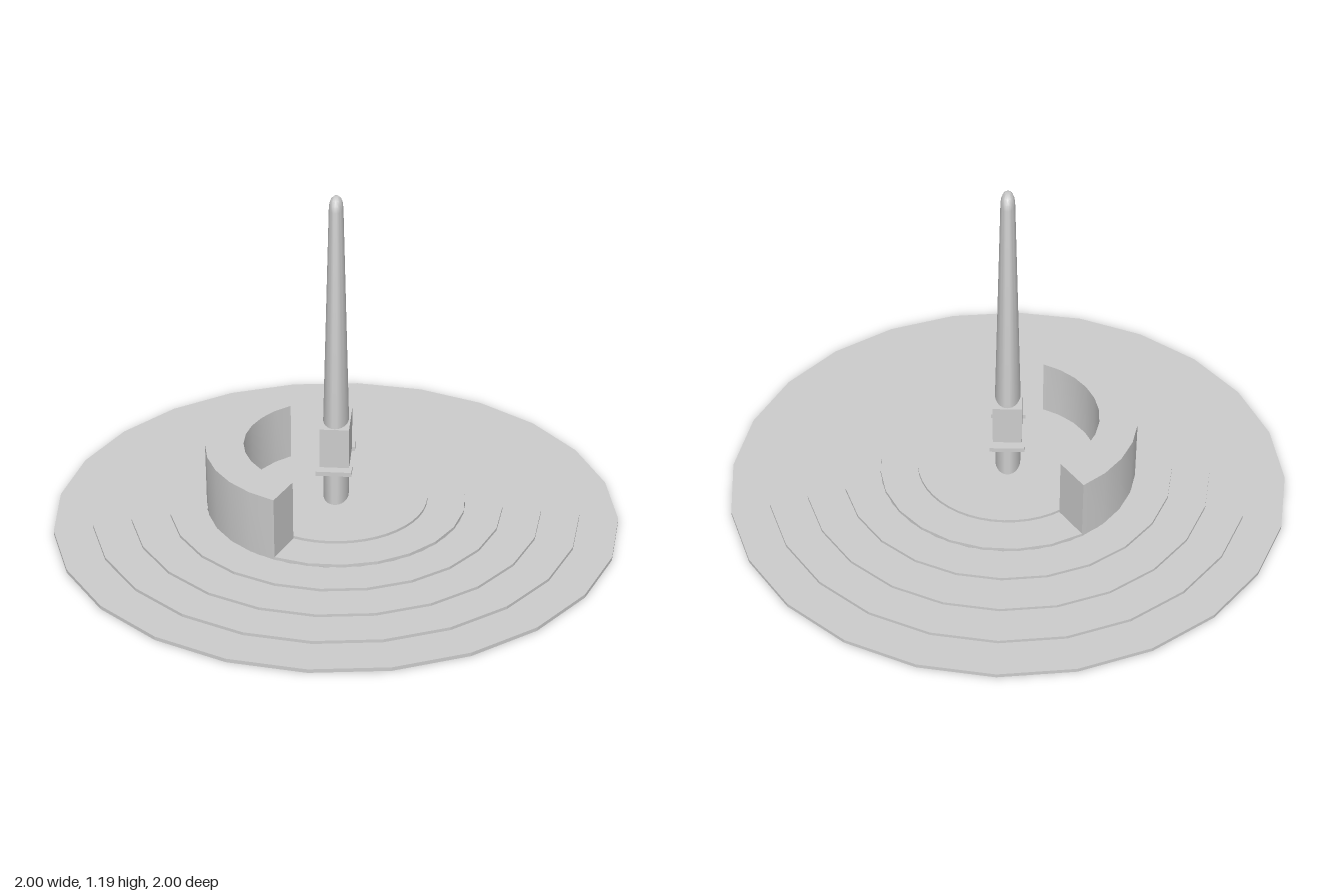
import * as THREE from 'three';
import { toCreasedNormals } from 'three/addons/utils/BufferGeometryUtils.js';

const DEG = Math.PI / 180;
const START = 1.7; // polygon rotation of the terraces, degrees
const TILT = -27.5 * DEG; // heading of the tower
const mat = new THREE.MeshStandardMaterial({ color: 0xcccccc, side: THREE.DoubleSide });

function add(parent, name, geometry, y = 0) {
  const mesh = new THREE.Mesh(geometry, mat);
  mesh.name = name;
  mesh.position.y = y;
  parent.add(mesh);
  return mesh;
}

// Points on an arc, angles in degrees, plan seen from above
function arc(r, from, to, n) {
  return Array.from({ length: n + 1 }, (_, i) => {
    const a = (from + (to - from) * i / n) * DEG;
    return new THREE.Vector2(r * Math.cos(a), r * Math.sin(a));
  });
}

const polygon = (r) => arc(r, START, START + 345, 23);

function sector(inner, outer, from, to, n) {
  return new THREE.Shape([...arc(outer, from, to, n), ...arc(inner, to, from, n)]);
}

// Plan shape raised to a slab standing on its own y = 0
function slab(shape, height) {
  const g = new THREE.ExtrudeGeometry(shape, { depth: height, bevelEnabled: false });
  return g.rotateX(-Math.PI / 2);
}

// Removes the underside of a slab
function openBottom(g) {
  const p = g.attributes.position, kept = [];
  for (let i = 0; i < p.count; i += 3) {
    if (Math.max(p.getY(i), p.getY(i + 1), p.getY(i + 2)) < 1e-5) continue;
    for (let k = i; k < i + 3; k++) kept.push(p.getX(k), p.getY(k), p.getZ(k));
  }
  const out = new THREE.BufferGeometry();
  out.setAttribute('position', new THREE.Float32BufferAttribute(kept, 3));
  return toCreasedNormals(out, 0.5);
}

export function createModel() {
  const model = new THREE.Group();
  model.name = 'monument';

  // Terraces: outer radius, inner radius, bottom, top
  const terraces = [
    [1.0, 0.863, 0, 0.013],
    [0.863, 0.728, 0.013, 0.024],
    [0.728, 0.592, 0.024, 0.034],
    [0.592, 0.46, 0, 0.044],
  ];
  terraces.forEach(([outer, inner, y0, y1], i) => {
    const shape = new THREE.Shape(polygon(outer));
    shape.holes.push(new THREE.Path(polygon(inner)));
    add(model, `terrace${i + 1}`, slab(shape, y1 - y0), y0);
  });

  // Fifth terrace stops where the curved wall stands
  const wallFrom = 97.5, wallTo = 220;
  add(model, 'terrace5', slab(sector(0.325, 0.46, wallTo, wallFrom + 360, 16), 0.011), 0.044);
  add(model, 'curvedWall', openBottom(slab(sector(0.325, 0.46, wallFrom, wallTo, 10), 0.23)), 0.044);

  // Central platform, open under the hollow tower
  const platform = new THREE.Shape(arc(0.325, START, START + 352.5, 47));
  const hole = new THREE.Path();
  hole.absellipse(0, 0, 0.045, 0.08, 0, Math.PI * 2, false, TILT);
  platform.holes.push(hole);
  add(model, 'platform', slab(platform, 0.01), 0.055);

  // Tower, turned on the platform
  const tower = new THREE.Group();
  tower.name = 'tower';
  tower.rotation.y = TILT;
  model.add(tower);

  // Elliptical spire with a rounded tip; x and z are scaled from radius 1
  const profile = [[1, 0.055], [1, 0.365], [0.54, 1.145], [0.5, 1.165], [0.38, 1.18], [0.2, 1.188], [0, 1.19]]
    .map(([r, y]) => new THREE.Vector2(r, y));
  const spire = new THREE.LatheGeometry(profile, 32);
  spire.scale(0.045, 1, 0.08);
  spire.computeVertexNormals();
  add(tower, 'spire', toCreasedNormals(spire, 0.7));

  // Collar block and its two ledges
  add(tower, 'collar', new THREE.BoxGeometry(0.102, 0.153, 0.172), 0.289);
  for (const s of [-1, 1]) {
    const ledge = add(tower, 'ledge', new THREE.BoxGeometry(0.124, 0.016, 0.05), 0.21);
    ledge.position.z = s * 0.095;
  }
  return model;
}
